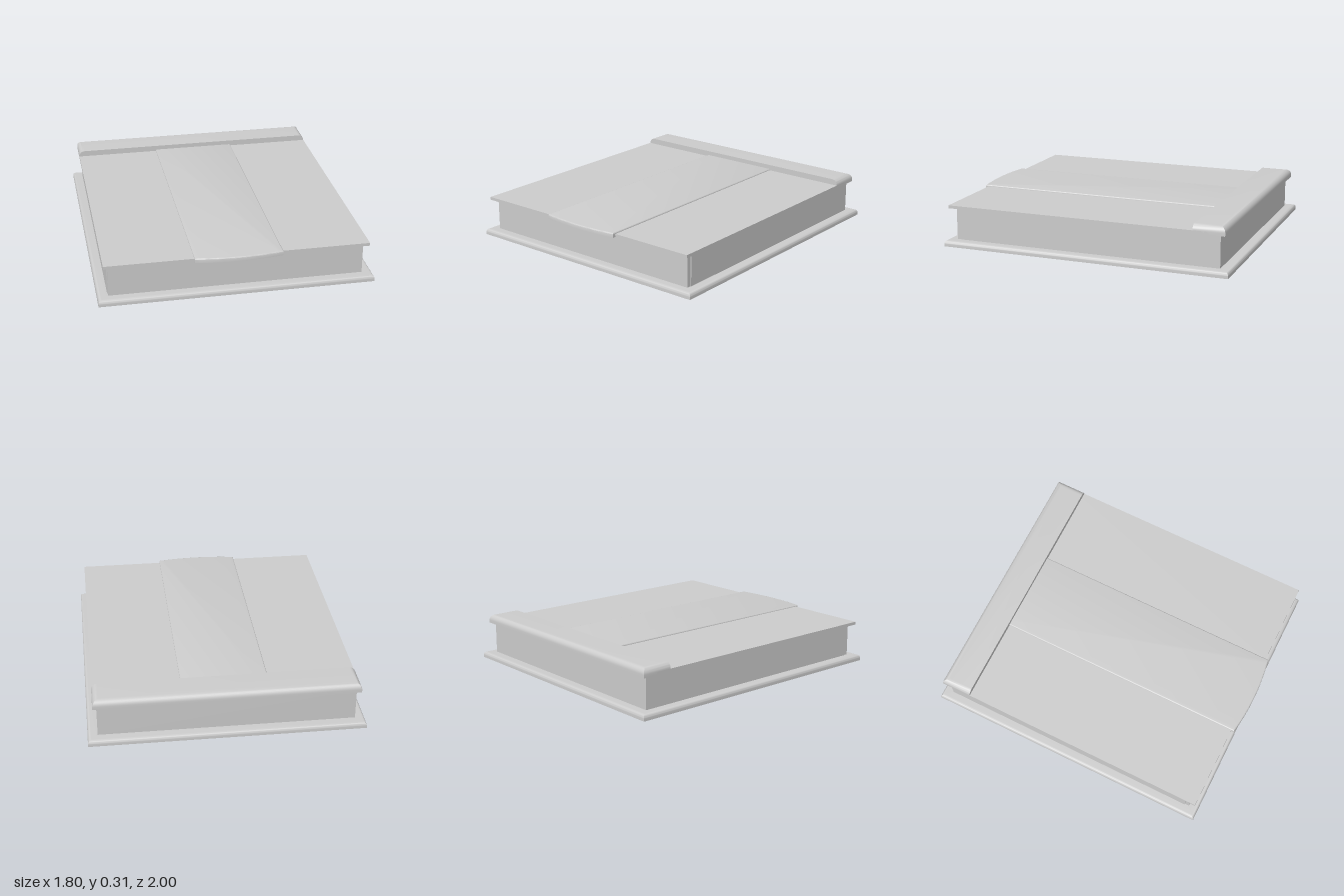
import * as THREE from 'three';
import { toCreasedNormals } from 'three/addons/utils/BufferGeometryUtils.js';

const material = new THREE.MeshStandardMaterial({ color: 0xcccccc, side: THREE.DoubleSide });

// Skin a series of rectangles [halfWidth, zBack, zFront, y]
function loft(rects) {
  const pos = [];
  const corners = ([w, b, f, y]) => [[w, y, f], [w, y, b], [-w, y, b], [-w, y, f]];
  for (let k = 0; k + 1 < rects.length; k++) {
    const a = corners(rects[k]), c = corners(rects[k + 1]);
    for (let i = 0; i < 4; i++) {
      const j = (i + 1) % 4;
      pos.push(...a[i], ...a[j], ...c[j], ...a[i], ...c[j], ...c[i]);
    }
  }
  const g = new THREE.BufferGeometry();
  g.setAttribute('position', new THREE.Float32BufferAttribute(pos, 3));
  return toCreasedNormals(g, 0.6);
}

// Quarter-round steps as [inset, drop] pairs from side to top
function round(r, steps = 6) {
  return Array.from({ length: steps + 1 }, (_, i) => {
    const a = (i / steps) * Math.PI / 2;
    return [r * (1 - Math.cos(a)), r * (1 - Math.sin(a))];
  });
}

export function createModel() {
  const group = new THREE.Group();
  const add = (name, geometry) => {
    const mesh = new THREE.Mesh(geometry, material);
    mesh.name = name;
    group.add(mesh);
    return mesh;
  };
  const box = (name, x0, x1, y0, y1, z0, z1) => {
    const m = add(name, new THREE.BoxGeometry(x1 - x0, y1 - y0, z1 - z0));
    m.position.set((x0 + x1) / 2, (y0 + y1) / 2, (z0 + z1) / 2);
  };

  // Mounting flange: open frame with a rounded outer top edge
  add('baseFlange', loft([
    [0.8, -0.9, 0.87, 0],
    [0.9, -1, 0.97, 0],
    ...round(0.022).map(([i, d]) => [0.9 - i, -1 + i, 0.97 - i, 0.04 - d]),
    [0.8, -0.9, 0.87, 0.04],
    [0.8, -0.9, 0.87, 0],
  ]));

  // Hollow coaming between flange and lid
  add('coamingWalls', loft([
    [0.805, -0.9, 0.865, 0.04],
    [0.835, -0.93, 0.875, 0.04],
    [0.835, -0.93, 0.875, 0.255],
    [0.805, -0.9, 0.865, 0.255],
    [0.805, -0.9, 0.865, 0.04],
  ]));
  box('frontBoard', -0.83, 0.83, 0.04, 0.255, 0.875, 0.905);

  // Fixed lid panels either side of the slide
  for (const [side, s] of [['left', 1], ['right', -1]]) {
    const x = [s * 0.285, s * 0.86].sort((a, b) => a - b);
    box(side + 'LidPanel', x[0], x[1], 0.255, 0.275, -0.86, 0.95);
  }

  // Sliding centre panel with a bowed front edge
  const outline = new THREE.Shape();
  outline.moveTo(-0.285, 0.86);
  outline.lineTo(-0.285, -0.97);
  outline.quadraticCurveTo(0, -1.02, 0.285, -0.97);
  outline.lineTo(0.285, 0.86);
  outline.closePath();
  const slide = new THREE.ExtrudeGeometry(outline, {
    depth: 0.022, curveSegments: 20, bevelThickness: 0.008,
    bevelSize: 0.008, bevelOffset: -0.008, bevelSegments: 3,
  });
  // Keep the underside flat and square
  const p = slide.attributes.position;
  for (let i = 0; i < p.count; i++) if (p.getZ(i) < 0) p.setZ(i, 0);
  slide.rotateX(-Math.PI / 2);
  add('slidingPanel', toCreasedNormals(slide, 0.6)).position.y = 0.255;

  // Rear housing: rounded on the back and ends, square at the front
  const zF = -0.755;
  add('rearHousing', loft([
    [0, -0.86, -0.86, 0.255],
    [0.86, -0.965, zF, 0.255],
    ...round(0.04, 8).map(([i, d]) => [0.86 - i, -0.965 + i, zF, 0.315 - d]),
    [0, -0.86, -0.86, 0.315],
  ]));

  return group;
}
